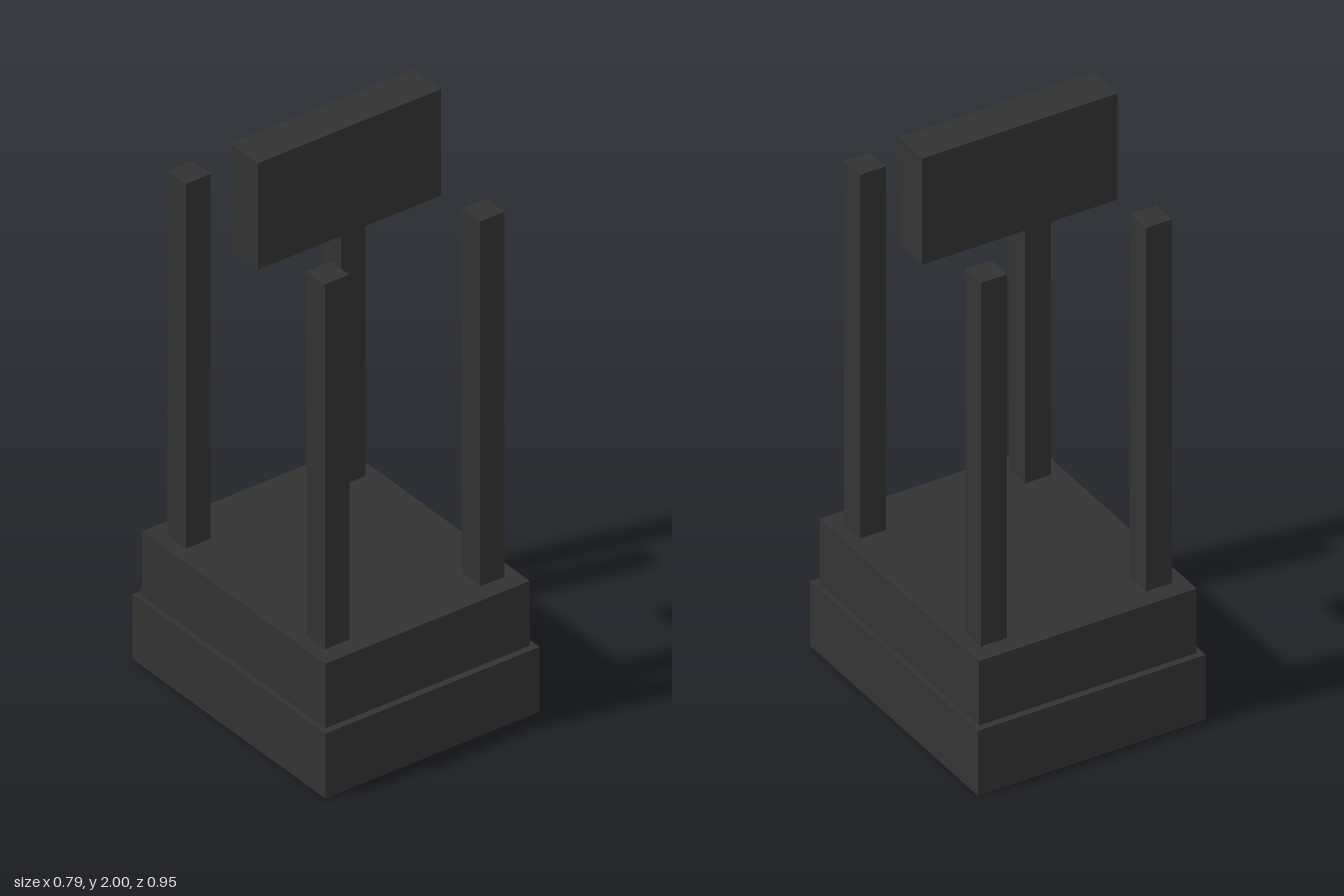
import * as THREE from 'three';

export function createModel() {
  const model = new THREE.Group();
  const charcoal = new THREE.MeshStandardMaterial({ color: 0x333333 });
  charcoal.name = 'charcoal';

  // Box standing between two heights
  function addBlock(name, width, depth, bottom, top, x = 0, z = 0) {
    const mesh = new THREE.Mesh(new THREE.BoxGeometry(width, top - bottom, depth), charcoal);
    mesh.name = name;
    mesh.position.set(x, (bottom + top) / 2, z);
    model.add(mesh);
  }

  // Stepped base
  addBlock('lowerBase', 0.79, 0.95, 0, 0.228);
  addBlock('upperBase', 0.754, 0.904, 0.228, 0.455);

  // Four corner posts
  for (const [side, x] of [['Left', 0.286], ['Right', -0.286]]) {
    for (const [end, z] of [['front', 0.343], ['back', -0.343]]) {
      addBlock(`${end}${side}Post`, 0.09, 0.09, 0.455, 1.737, x, z);
    }
  }

  // Floating top block
  addBlock('topBlock', 0.676, 0.134, 1.626, 2);

  return model;
}
